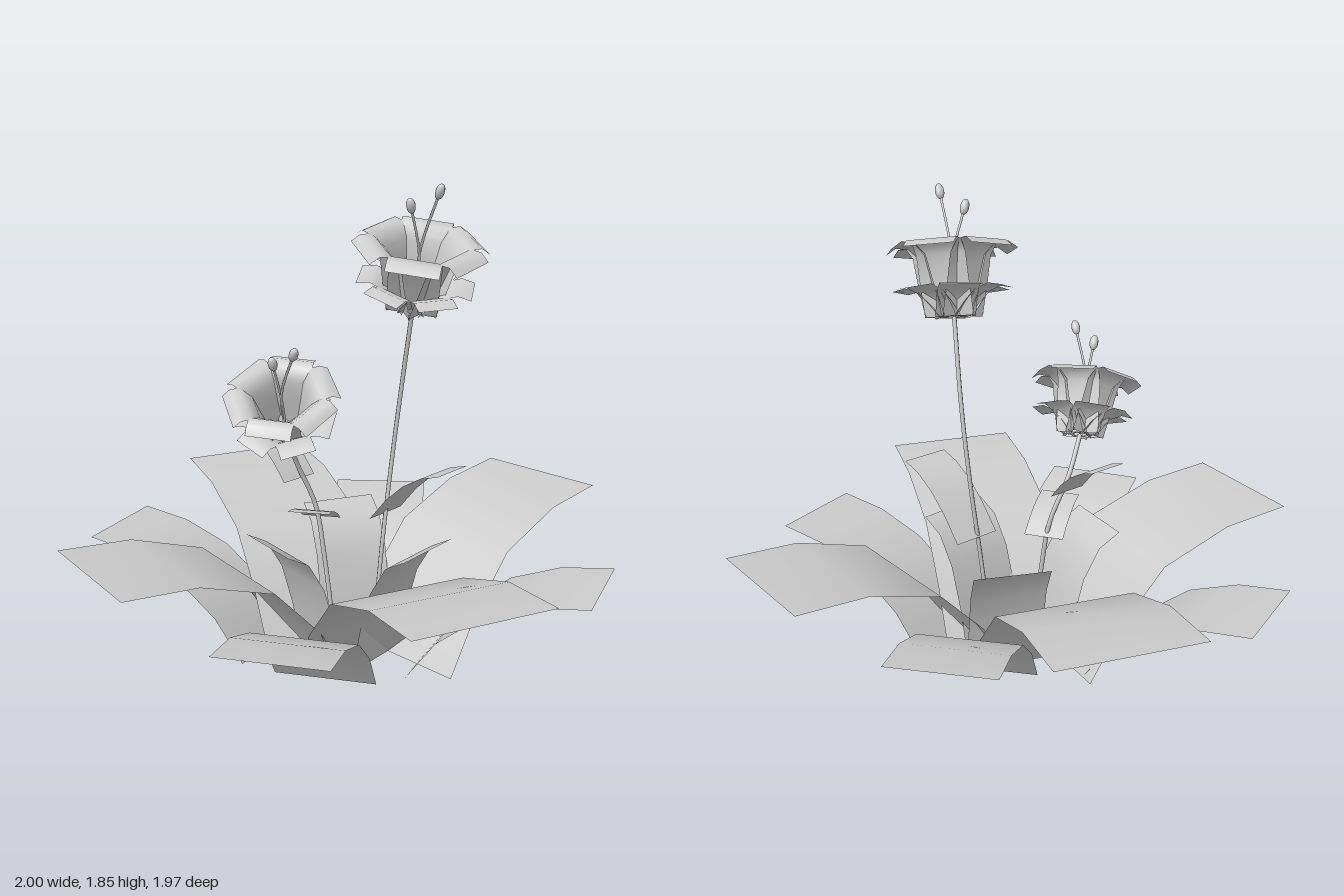
import * as THREE from 'three';

const plantGrey = new THREE.MeshStandardMaterial({ color: 0xcccccc, side: THREE.DoubleSide });
plantGrey.name = 'plantGrey';

// Rectangular strip bent along a profile of [outward, height]; it points to +z.
function strip(name, profile, width) {
  const geo = new THREE.PlaneGeometry(width, 1, 1, profile.length - 1);
  const pos = geo.attributes.position;
  for (let i = 0; i < pos.count; i++) {
    const [out, up] = profile[profile.length - 1 - Math.floor(i / 2)];
    pos.setXYZ(i, pos.getX(i), up, out);
  }
  // reverse the winding so that the upper side is the front
  geo.index.array.reverse();
  geo.computeVertexNormals();
  const mesh = new THREE.Mesh(geo, plantGrey);
  mesh.name = name;
  return mesh;
}

// Leaf placed by the centre of its tip and its compass direction in x and z.
function leafAtTip(name, tipX, tipZ, dirX, dirZ, profile, width) {
  const leaf = strip(name, profile, width);
  const n = Math.hypot(dirX, dirZ), reach = profile[profile.length - 1][0];
  leaf.position.set(tipX - dirX / n * reach, 0, tipZ - dirZ / n * reach);
  leaf.rotation.y = Math.atan2(dirX, dirZ);
  return leaf;
}

// Leaf on a stem, arching from its base to its tip.
function stemLeaf(base, tip, width) {
  const dx = tip[0] - base[0], dz = tip[2] - base[2];
  const reach = Math.hypot(dx, dz), rise = tip[1] - base[1];
  const profile = [0, 0.25, 0.5, 0.75, 1].map(t => [reach * t, rise * (1.8 * t - 0.8 * t * t)]);
  const leaf = strip('stemLeaf', profile, width);
  leaf.position.set(...base);
  leaf.rotation.y = Math.atan2(dx, dz);
  return leaf;
}

function tube(name, points, radius, segments) {
  const curve = new THREE.CatmullRomCurve3(points.map(p => new THREE.Vector3(...p)));
  const mesh = new THREE.Mesh(new THREE.TubeGeometry(curve, segments, radius, 6), plantGrey);
  mesh.name = name;
  return mesh;
}

// Two whorls of six petals around a tilted axis.
function blossom(base, axis, scale, turn) {
  const g = new THREE.Group();
  g.name = 'blossom';
  const upper = [[0.05, 0], [0.085, 0.12], [0.11, 0.22], [0.15, 0.262], [0.195, 0.265], [0.23, 0.24]];
  const lower = [[0.03, 0], [0.07, 0.05], [0.11, 0.09], [0.16, 0.11], [0.21, 0.1]];
  for (let i = 0; i < 6; i++) {
    const a = turn + i * Math.PI / 3;
    const up = strip('upperPetal', upper, 0.19);
    up.rotation.y = a;
    const low = strip('lowerPetal', lower, 0.15);
    low.rotation.y = a + Math.PI / 6;
    g.add(up, low);
  }
  g.position.set(...base);
  g.scale.setScalar(scale);
  g.quaternion.setFromUnitVectors(new THREE.Vector3(0, 1, 0), new THREE.Vector3(...axis).normalize());
  return g;
}

// Thin filament with an oval head.
function stamen(base, head, axis) {
  const g = new THREE.Group();
  g.name = 'stamen';
  const b = new THREE.Vector3(...base), h = new THREE.Vector3(...head);
  const mid = b.clone().addScaledVector(new THREE.Vector3(...axis).normalize(), b.distanceTo(h) * 0.5);
  g.add(tube('filament', [base, mid.toArray(), head], 0.005, 8));
  const tip = new THREE.Mesh(new THREE.SphereGeometry(1, 10, 8), plantGrey);
  tip.name = 'stamenHead';
  tip.scale.set(0.017, 0.03, 0.017);
  tip.position.copy(h);
  tip.quaternion.setFromUnitVectors(new THREE.Vector3(0, 1, 0), h.clone().sub(mid).normalize());
  g.add(tip);
  return g;
}

export function createModel() {
  const plant = new THREE.Group();
  plant.name = 'floweringPlant';

  // Broad outer leaves: tip x, tip z, direction x, direction z
  const broad = [[0, 0], [0.14, 0.22], [0.33, 0.425], [0.63, 0.53], [0.92, 0.555]];
  [[0.54, -0.895, 0.35, -0.94], [-0.79, -0.625, -0.77, -0.64],
    [0.78, 0.645, 0.76, 0.65], [-0.585, 0.85, -0.5, 0.87]]
    .forEach(l => plant.add(leafAtTip('broadLeaf', ...l, broad, 0.54)));

  // Low spreading leaves
  const low = [[0, 0], [0.12, 0.17], [0.29, 0.31], [0.49, 0.39], [0.69, 0.42]];
  [[-1, 0.085, -1, 0], [1, -0.07, 1, 0], [0.16, 0.93, 0.185, 0.98], [-0.2, -0.85, -0.34, -0.94]]
    .forEach(l => plant.add(leafAtTip('lowLeaf', ...l, low, 0.4)));

  // Upright inner leaves
  const inner = [[0, 0], [0.03, 0.17], [0.08, 0.35], [0.15, 0.47], [0.24, 0.52]];
  [[-0.165, -0.295, 225], [-0.19, 0.29, 120], [0.38, 0.08, 15]].forEach(([x, z, deg]) => {
    const a = THREE.MathUtils.degToRad(deg);
    plant.add(leafAtTip('innerLeaf', x, z, Math.cos(a), Math.sin(a), inner, 0.3));
  });

  // Short flower
  const axis1 = [0.17, 0.83, 0.5], base1 = [-0.165, 0.92, 0.16];
  plant.add(
    tube('shortStem', [[-0.04, 0, 0], [-0.09, 0.4, 0], [-0.12, 0.6, 0.01], [-0.165, 0.78, 0.075], base1], 0.009, 20),
    blossom(base1, axis1, 0.87, 0.2),
    stamen(base1, [-0.12, 1.235, 0.345], axis1),
    stamen(base1, [-0.03, 1.28, 0.36], axis1),
    stemLeaf([-0.165, 0.72, 0.06], [-0.375, 0.885, -0.015], 0.16),
    stemLeaf([-0.11, 0.545, -0.02], [-0.06, 0.64, 0.2], 0.155));

  // Tall flower
  const axis2 = [0.2, 0.93, 0.25], base2 = [0.23, 1.39, -0.1];
  plant.add(
    tube('tallStem', [[0.09, 0, -0.08], [0.105, 0.42, -0.13], [0.13, 0.78, -0.165], [0.17, 1.08, -0.155], base2], 0.009, 20),
    blossom(base2, axis2, 1, 0.25),
    stamen(base2, [0.27, 1.77, 0.04], axis2),
    stamen(base2, [0.37, 1.82, 0.025], axis2),
    stemLeaf([0.105, 0.545, -0.16], [0.415, 0.79, -0.06], 0.19));

  return plant;
}
